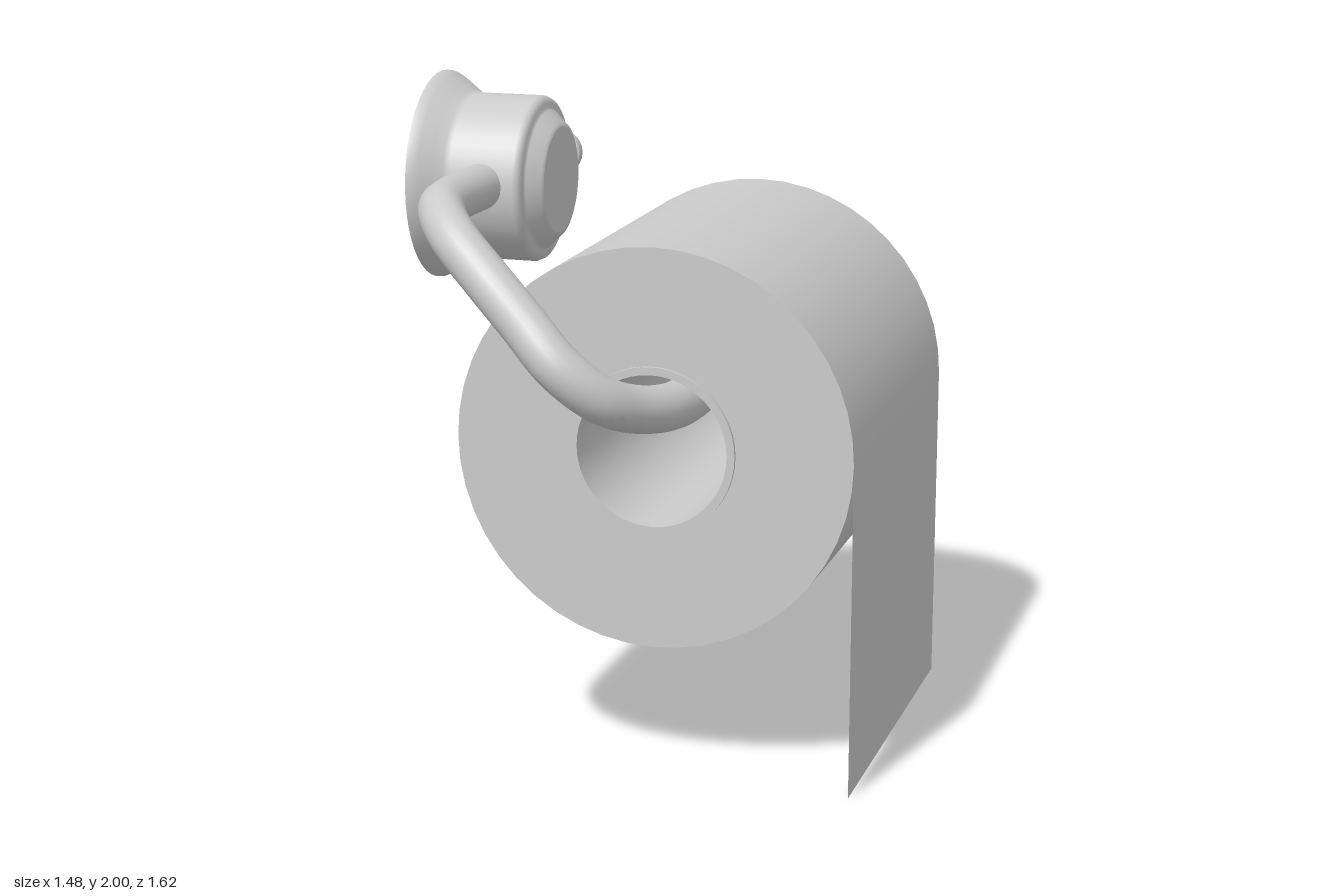
import * as THREE from 'three';

const material = new THREE.MeshStandardMaterial({ color: 0xcccccc });
const thin = new THREE.MeshStandardMaterial({ color: 0xcccccc, side: THREE.DoubleSide });

// Lathe with [radius, height] points; a repeated point keeps that edge sharp.
function lathe(name, points, segments = 48) {
  const profile = points.map(([r, h]) => new THREE.Vector2(r, h));
  const mesh = new THREE.Mesh(new THREE.LatheGeometry(profile, segments), material);
  mesh.name = name;
  return mesh;
}

// Repeats every point so that all edges of the profile are crisp.
const sharp = (points) => points.flatMap((p) => [p, p]);

// Hollow cylinder lying along z.
function sleeve(name, outer, inner, back, front) {
  const mesh = lathe(name, sharp([[outer, back], [outer, front], [inner, front], [inner, back], [outer, back]]));
  mesh.rotation.x = Math.PI / 2;
  mesh.position.set(0.135, 1.01, 0);
  return mesh;
}

// Grooved knob closing a rod end, pointing along direction.
function endKnob(name, position, direction) {
  const knob = lathe(name, [
    [0.07, 0], [0.07, 0], [0.055, 0], [0.055, 0], [0.055, 0.018], [0.055, 0.018],
    [0.066, 0.018], [0.071, 0.023], [0.071, 0.044], [0.067, 0.055], [0.058, 0.06], [0.058, 0.06], [0, 0.06],
  ], 24);
  knob.position.copy(position);
  knob.quaternion.setFromUnitVectors(new THREE.Vector3(0, 1, 0), direction.clone().normalize());
  return knob;
}

export function createModel() {
  const model = new THREE.Group();
  model.name = 'toiletRollHolder';

  // Paper roll, cardboard core and hanging sheet
  model.add(sleeve('paperRoll', 0.602, 0.25, -0.74, 0.447));
  model.add(sleeve('cardboardCore', 0.252, 0.228, -0.753, 0.458));

  const sheet = new THREE.Mesh(new THREE.PlaneGeometry(1.187, 1.01), thin);
  sheet.name = 'hangingSheet';
  sheet.rotation.y = Math.PI / 2;
  sheet.position.set(0.737, 0.505, -0.1465);
  model.add(sheet);

  // Wall mount: a hollow flared cup, open towards the wall
  const mount = lathe('wallMount', [
    [0, -0.4], [0.2, -0.41], [0.225, -0.43], [0.23, -0.62], [0.25, -0.67], [0.285, -0.715], [0.312, -0.74], [0.312, -0.74],
    [0.323, -0.74], [0.323, -0.74], [0.322, -0.725], [0.31, -0.705], [0.285, -0.67], [0.265, -0.643], [0.257, -0.625],
    [0.257, -0.42], [0.25, -0.405], [0.235, -0.398], [0.22, -0.398], [0.212, -0.392],
    [0.178, -0.355], [0.165, -0.35], [0.165, -0.35], [0, -0.35],
  ]);
  mount.rotation.z = -Math.PI / 2;
  mount.position.set(0, 1.68, -0.17);
  model.add(mount);

  // Bent rod: through the mount, round the front and back through the core
  const path = [
    [-0.505, 1.69, -0.58], [-0.515, 1.69, -0.2], [-0.527, 1.69, 0.12], [-0.528, 1.69, 0.32],
    [-0.505, 1.685, 0.45], [-0.42, 1.635, 0.58], [-0.3, 1.54, 0.65], [-0.17, 1.425, 0.7],
    [-0.05, 1.31, 0.735], [0.05, 1.22, 0.69], [0.11, 1.17, 0.59], [0.165, 1.14, 0.45],
    [0.19, 1.13, 0.3], [0.185, 1.135, 0], [0.16, 1.148, -0.4], [0.131, 1.16, -0.748],
  ].map((p) => new THREE.Vector3(...p));
  const curve = new THREE.CatmullRomCurve3(path);
  const rod = new THREE.Mesh(new THREE.TubeGeometry(curve, 140, 0.07, 24), material);
  rod.name = 'bentRod';
  model.add(rod);

  // Knobs on both rod ends
  model.add(endKnob('upperKnob', curve.getPoint(0), curve.getTangent(0).negate()));
  model.add(endKnob('lowerKnob', curve.getPoint(1), curve.getTangent(1)));

  return model;
}
